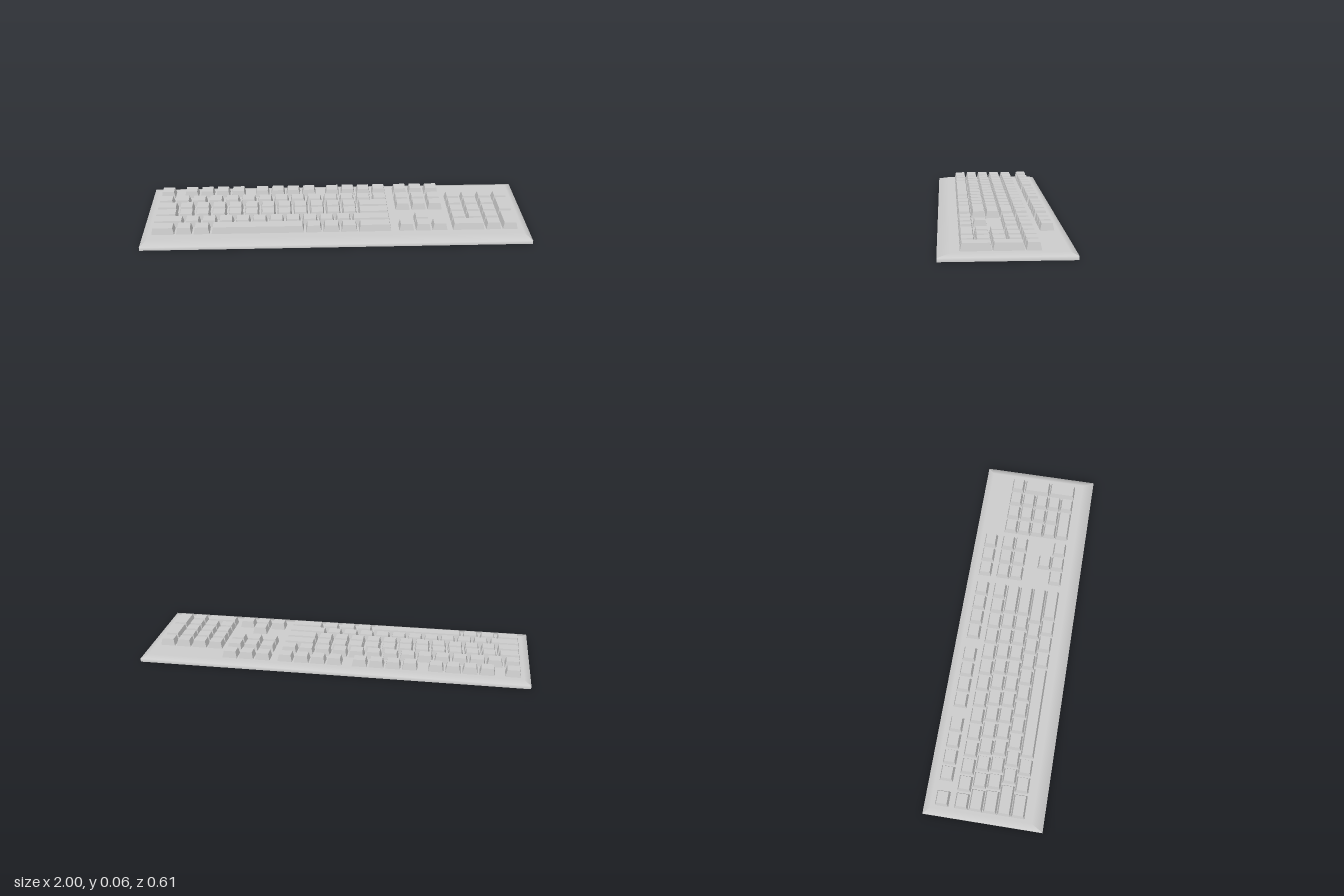
import * as THREE from 'three';

const material = new THREE.MeshStandardMaterial({ color: 0xcccccc });
const DECK = 0.03, KEY_TOP = 0.065, GAP = 0.009, TAPER = 0.008;
const X0 = -0.956, X1 = 0.288; // extents of the main key block
const ROW_Z = [-0.215, -0.117, -0.044, 0.028, 0.099, 0.17];
const PITCH = 0.0865, DEPTH = 0.069;

function add(parent, geometry, name) {
  const mesh = new THREE.Mesh(geometry, material);
  mesh.name = name;
  parent.add(mesh);
  return mesh;
}

// Keycap: a box narrowed toward its top, x from a to b including the gap
function addKey(parent, a, b, z, name, depth = DEPTH) {
  const w = b - a - GAP, h = KEY_TOP - DECK + 0.002;
  const g = new THREE.BoxGeometry(w, h, depth).toNonIndexed();
  const p = g.attributes.position;
  for (let i = 0; i < p.count; i++) {
    if (p.getY(i) > 0) {
      p.setX(i, p.getX(i) - Math.sign(p.getX(i)) * TAPER);
      p.setZ(i, p.getZ(i) - Math.sign(p.getZ(i)) * TAPER);
    }
  }
  g.computeVertexNormals();
  add(parent, g, name).position.set((a + b) / 2, KEY_TOP - h / 2, z);
}

// A run of equal keys between a and b
function addRun(parent, a, b, count, z, name) {
  const step = (b - a) / count;
  for (let i = 0; i < count; i++) addKey(parent, a + i * step, a + (i + 1) * step, z, name);
}

// Rectangular ring, counter-clockwise from above, starting front left
const ring = (x, y, front, back) =>
  [[-x, front], [x, front], [x, back], [-x, back]].map(([px, pz]) => new THREE.Vector3(px, y, pz));

// Case: upright rim, softly shaded bevel, flat deck and underside
function makeCase() {
  const rings = [ring(1, 0, 0.304, -0.304), ring(1, 0.018, 0.304, -0.304), ring(0.967, DECK, 0.245, -0.27)];
  const up = new THREE.Vector3(0, 1, 0);
  const out = [[0, 1], [1, 0], [0, -1], [-1, 0]].map(([x, z]) => new THREE.Vector3(x, 0, z));
  const pos = [], nor = [], index = [];
  const quad = (points, normals) => {
    const n = pos.length / 3;
    points.forEach((p, i) => { pos.push(...p.toArray()); nor.push(...normals[i].toArray()); });
    index.push(n, n + 1, n + 2, n, n + 2, n + 3);
  };
  for (let i = 0; i < 4; i++) {
    const j = (i + 1) % 4;
    const normals = [out[i], out[i].clone().add(up).normalize(), up];
    for (let r = 0; r < 2; r++) {
      quad([rings[r][i], rings[r][j], rings[r + 1][j], rings[r + 1][i]],
        [normals[r], normals[r], normals[r + 1], normals[r + 1]]);
    }
  }
  quad(rings[2], Array(4).fill(up));
  quad([...rings[0]].reverse(), Array(4).fill(up.clone().negate()));
  const g = new THREE.BufferGeometry();
  g.setAttribute('position', new THREE.Float32BufferAttribute(pos, 3));
  g.setAttribute('normal', new THREE.Float32BufferAttribute(nor, 3));
  g.setIndex(index);
  return g;
}

export function createModel() {
  const model = new THREE.Group();
  model.name = 'keyboard';
  add(model, makeCase(), 'case');
  const section = (name) => {
    const g = new THREE.Group();
    g.name = name;
    model.add(g);
    return g;
  };

  // Top row: a single key and three blocks of four
  const topRow = section('topRowKeys');
  addKey(topRow, X0, X0 + PITCH, ROW_Z[0], 'escapeKey');
  for (const a of [-0.828, -0.44, -0.054]) addRun(topRow, a, a + 0.342, 4, ROW_Z[0], 'topRowKey');

  // Main block rows: [end of first key, start of last key, keys between]
  const main = section('mainKeys');
  const rows = [[-0.867, 0.199, 12], [-0.838, 0.118, 11], [-0.832, 0.118, 11], [-0.793, 0.082, 10]];
  rows.forEach(([a, b, count], i) => {
    const z = ROW_Z[i + 1];
    addKey(main, X0, a, z, 'leftEdgeKey');
    addRun(main, a, b, count, z, 'letterKey');
    addKey(main, b, X1, z, 'rightEdgeKey');
  });
  // Bottom row with the space bar
  const stops = [X0, -0.83, -0.74, -0.648, -0.162, -0.072, 0.021, 0.112, X1];
  for (let i = 0; i < 8; i++) {
    addKey(main, stops[i], stops[i + 1], ROW_Z[5], i === 3 ? 'spaceBar' : 'modifierKey');
  }

  // Navigation cluster and arrows
  const nav = section('navigationKeys');
  const navX = 0.32;
  for (const r of [0, 1, 2, 5]) {
    addRun(nav, navX, navX + 3 * PITCH, 3, ROW_Z[r], r === 5 ? 'arrowKey' : 'navigationKey');
  }
  addKey(nav, navX + PITCH, navX + 2 * PITCH, ROW_Z[4], 'arrowKey');

  // Number pad with two tall keys and a double-width key
  const pad = section('numberPad');
  const px = 0.599;
  addRun(pad, px, px + 4 * PITCH, 4, ROW_Z[1], 'padKey');
  for (const r of [2, 3, 4]) addRun(pad, px, px + 3 * PITCH, 3, ROW_Z[r], 'padKey');
  addKey(pad, px, px + 2 * PITCH, ROW_Z[5], 'widePadKey');
  addKey(pad, px + 2 * PITCH, px + 3 * PITCH, ROW_Z[5], 'padKey');
  for (const r of [2, 4]) {
    addKey(pad, px + 3 * PITCH, px + 4 * PITCH, (ROW_Z[r] + ROW_Z[r + 1]) / 2, 'tallPadKey', 0.14);
  }
  return model;
}
